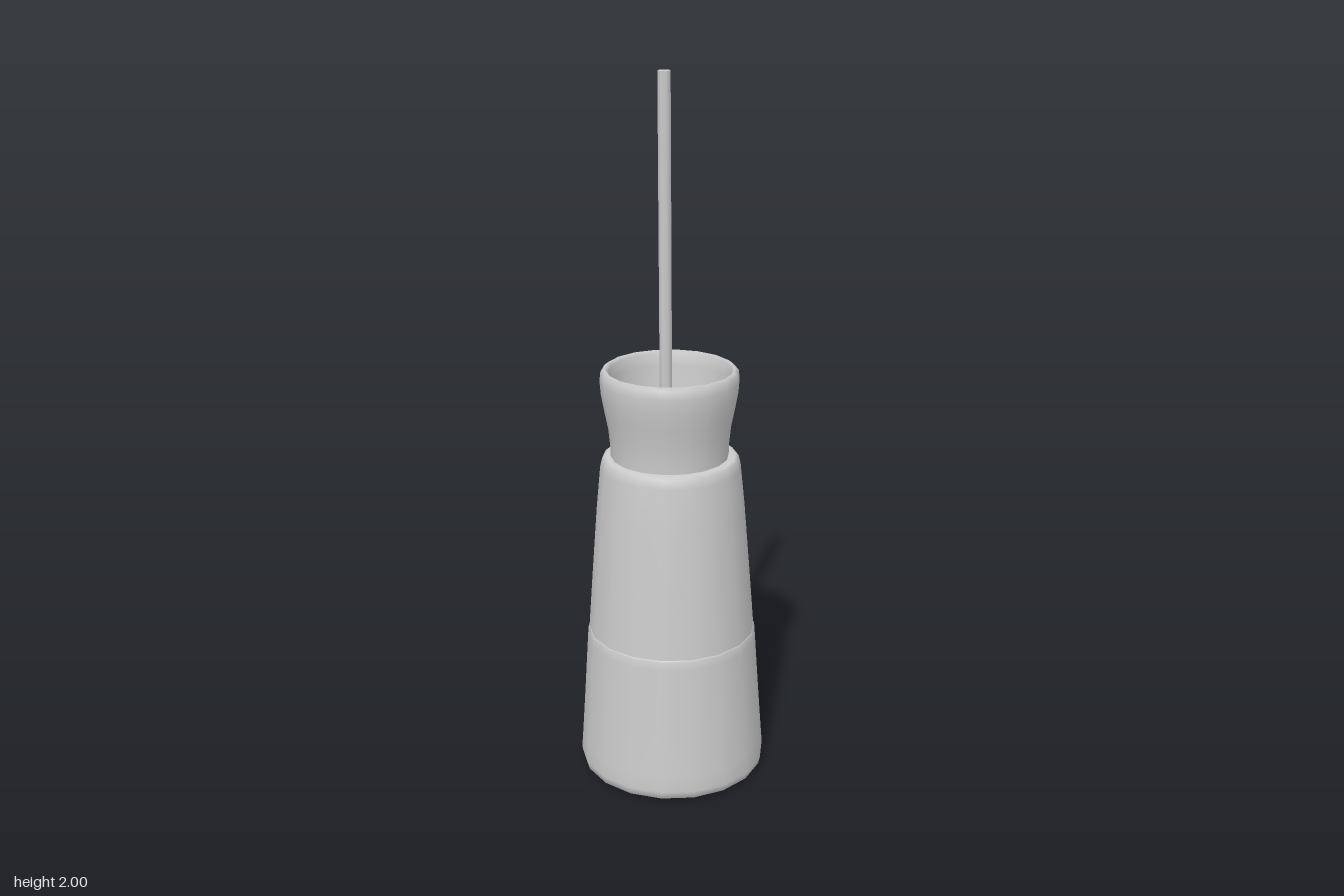
import * as THREE from 'three';

const material = new THREE.MeshStandardMaterial({ color: 0xcccccc, side: THREE.DoubleSide });

// One smooth turned piece; separate pieces meet at a sharp edge.
function turned(name, points, sides = 18) {
  const profile = points.map(([r, y]) => new THREE.Vector2(r, y));
  const mesh = new THREE.Mesh(new THREE.LatheGeometry(profile, sides), material);
  mesh.name = name;
  return mesh;
}

export function createModel() {
  const model = new THREE.Group();
  model.name = 'pendantLamp';

  // Tapered shade, leaning very slightly towards -x at the top
  const shade = new THREE.Group();
  shade.name = 'shade';
  shade.add(
    turned('lowerShade', [[0.25, 0], [0.264, 0.008], [0.269, 0.03], [0.265, 0.08], [0.255, 0.22], [0.243, 0.4], [0.241, 0.425], [0.236, 0.43]]),
    turned('upperShade', [[0.238, 0.43], [0.225, 0.6], [0.209, 0.8], [0.197, 0.92], [0.191, 0.945], [0.182, 0.951], [0.15, 0.952]]),
    turned('bottomRim', [[0.207, 0.04], [0.222, 0.03], [0.25, 0]]),
    turned('bottomPanel', [[0, 0.04], [0.207, 0.04]])
  );
  shade.traverse((part) => {
    if (!part.isMesh) return;
    const p = part.geometry.attributes.position;
    for (let i = 0; i < p.count; i++) p.setX(i, p.getX(i) - 0.006 * p.getY(i));
  });
  model.add(shade);

  // Flared, hollow collar
  const collar = new THREE.Group();
  collar.name = 'collar';
  collar.add(
    turned('collarWall', [
      [0.165, 0.94], [0.166, 0.98], [0.171, 1.03], [0.181, 1.08], [0.19, 1.13], [0.193, 1.17],
      [0.19, 1.195], [0.18, 1.203], [0.17, 1.195], [0.167, 1.16], [0.16, 1.08], [0.15, 1.01]
    ]),
    turned('collarFloor', [[0.15, 1.01], [0, 0.98]])
  );
  collar.position.x = -0.008;
  model.add(collar);

  // Thin hanging rod rising from the collar, tilted a touch
  const bottom = new THREE.Vector3(-0.018, 0.96, 0.002);
  const top = new THREE.Vector3(-0.018, 2, 0.012);
  const rod = new THREE.Mesh(new THREE.CylinderGeometry(0.018, 0.018, bottom.distanceTo(top), 8), material);
  rod.name = 'hangingRod';
  rod.position.copy(bottom).lerp(top, 0.5);
  rod.quaternion.setFromUnitVectors(new THREE.Vector3(0, 1, 0), top.clone().sub(bottom).normalize());
  model.add(rod);

  return model;
}
